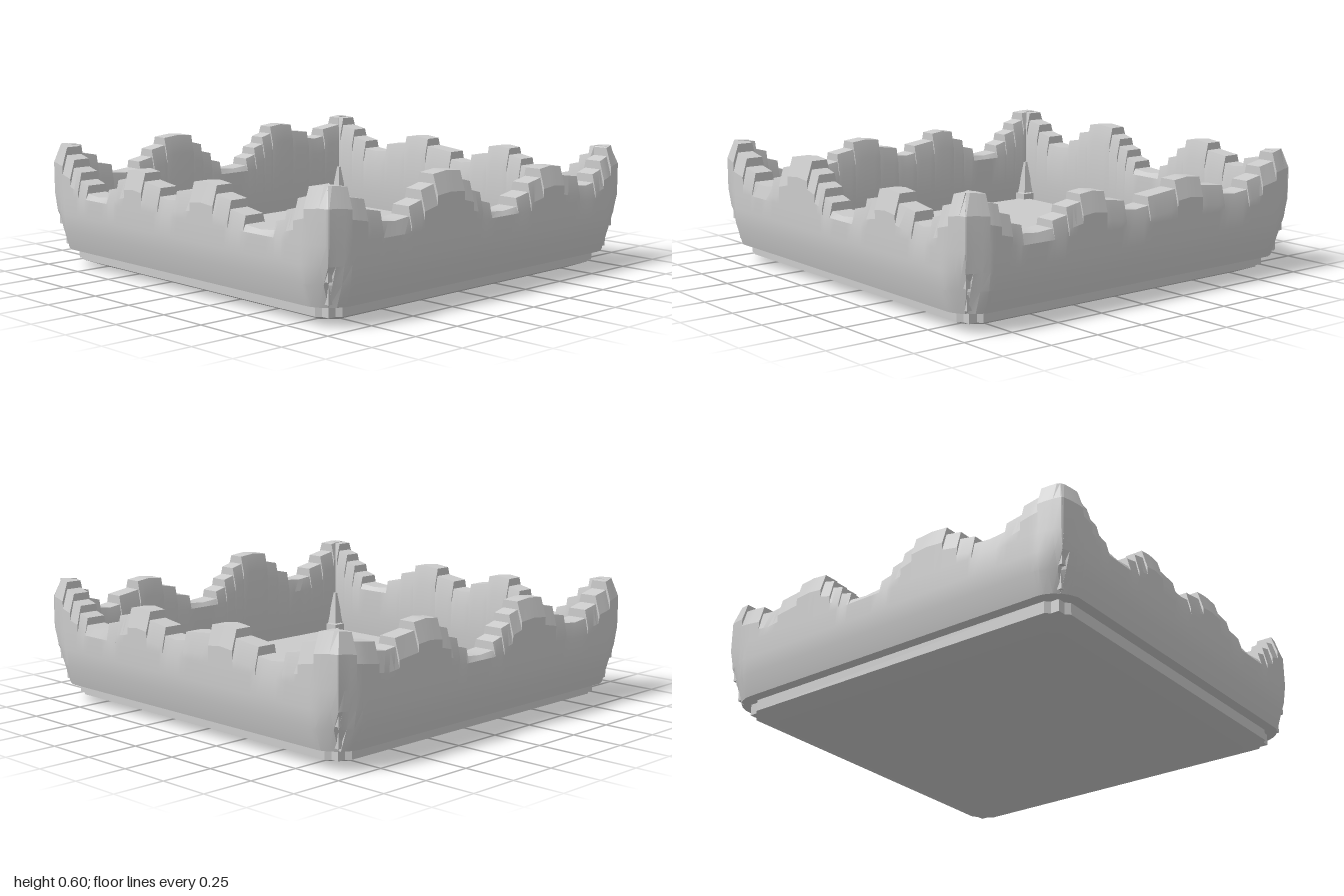
import * as THREE from 'three';
import { toCreasedNormals } from 'three/addons/utils/BufferGeometryUtils.js';

const material = new THREE.MeshStandardMaterial({ color: 0xcccccc });

// Positions and heights of the crests and dips between the corners, anticlockwise from above
const WALLS = [
  { at: [-.57, -.29, -.05, .18, .58], height: [.38, .54, .43, .54, .38] }, // front
  { at: [-.59, -.27, .1, .46, .7], height: [.42, .6, .38, .55, .43] }, // +x side
  { at: [-.6, -.28, -.05, .29, .58], height: [.4, .54, .43, .54, .43] }, // back
  { at: [-.7, -.46, -.1, .27, .6], height: [.49, .59, .38, .59, .43] }, // -x side
];

const lerp = THREE.MathUtils.lerp;
const smooth = THREE.MathUtils.smoothstep;

// Stair-step from each crest to the next dip: list of [start along the wall, height]
function makeSteps({ at, height }) {
  const t = [-.95, ...at, .95], h = [.6, ...height, .6];
  const steps = [[-1, .6]];
  for (let i = 0; i < t.length - 1; i++) {
    const n = Math.max(2, Math.round(Math.abs(h[i + 1] - h[i]) / .053));
    for (let k = 0; k < n; k++) {
      const u = .25 + .5 * k / (n - 1);
      steps.push([lerp(t[i], t[i + 1], u), lerp(h[i], h[i + 1], (k + 1) / n)]);
    }
  }
  return steps;
}

// Skin a loop of sections, leaving out slivers; each section is a list of [x, y, z]
function loft(sections, closeSections) {
  const n = sections[0].length, m = sections.length;
  const vertices = sections.flat().map(p => new THREE.Vector3(...p));
  const index = [];
  const face = (...corners) => {
    const triangle = new THREE.Triangle(...corners.map(i => vertices[i]));
    if (triangle.getArea() > 1e-5) index.push(...corners);
  };
  for (let i = 0; i < m; i++) {
    for (let j = 0; j < (closeSections ? n : n - 1); j++) {
      const a = i * n + j, b = ((i + 1) % m) * n + j;
      const d = i * n + (j + 1) % n, c = ((i + 1) % m) * n + (j + 1) % n;
      face(a, b, c);
      face(a, c, d);
    }
  }
  const geometry = new THREE.BufferGeometry().setFromPoints(vertices);
  geometry.setIndex(index);
  return toCreasedNormals(geometry, 0.25);
}

// Quarter turns carry the front wall's (along, out) to each side
function turn(side, along, y, out) {
  return [[along, y, out], [out, y, -along], [-along, y, -out], [-out, y, along]][side];
}

// Barrel-shaped cross-section with narrowed foot and top, cut back at the corners
function wallSection(side, t, top) {
  const corner = smooth(Math.abs(t), .84, 1);
  const points = [];
  const add = (d, y) => points.push(turn(side, THREE.MathUtils.clamp(t, -d, d), y, d));
  const mid = Math.max(.36, top - .09);
  const taper = .015 * smooth(top, .38, .6);
  const outside = [[.963, .09], [.993, .19], [1, .27], [1, .36], [1, mid], [.985 - taper, top]];
  for (const [d, y] of outside) add(d - corner * (.03 + .04 * (1 - smooth(y, .15, .35))), y);
  const inside = [[.885 + taper * .4, top], [.87, mid], [.87, .2], [.885, .09]];
  for (const [d, y] of inside) add(d, y);
  return points;
}

function makeWall() {
  const sections = [];
  WALLS.forEach((wall, side) => {
    const steps = makeSteps(wall);
    steps.forEach(([t, h], i) => {
      const [, before] = steps[i - 1] ?? [-1, h];
      const [end, after] = steps[i + 1] ?? [1, h];
      // each step leans slightly towards its neighbours
      const from = lerp(h, before, .15), to = lerp(h, after, .15);
      for (let k = 0; k <= 4; k++) {
        const u = k / 4;
        const top = u < .5 ? lerp(from, h, u * 2) : lerp(h, to, u * 2 - 1);
        sections.push(wallSection(side, lerp(t, end, u), top));
      }
    });
  });
  return loft(sections, true);
}

// Floor slab, bevelled above and below, with clipped corners
function makeBase() {
  const profile = [[0, 0, 0], [.82, 0, .05], [.91, .035, .08], [.91, .09, .08], [.83, .12, .03], [0, .12, 0]];
  const sections = [];
  for (let side = 0; side < 4; side++) {
    for (const s of [-1, 1]) {
      sections.push(profile.map(([d, y, cut]) => turn(side, s * (d - cut), y, d)));
    }
  }
  return loft(sections, false);
}

export function createModel() {
  const group = new THREE.Group();
  const add = (name, geometry, x, y, z) => {
    const mesh = new THREE.Mesh(geometry, material);
    mesh.name = name;
    mesh.position.set(x, y, z);
    group.add(mesh);
  };
  add('base', makeBase(), 0, 0, 0);
  add('raggedWall', makeWall(), 0, 0, 0);

  // Small stepped blocks and a pointed post at every corner
  const foot = new THREE.BoxGeometry(.07, .06, .07);
  const post = toCreasedNormals(new THREE.CylinderGeometry(.01, .045, .18, 4).rotateY(Math.PI / 4), 0.25);
  const outerBlock = new THREE.BoxGeometry(.07, .07, .07);
  for (const x of [-1, 1]) {
    for (const z of [-1, 1]) {
      add('innerCornerFoot', foot, x * .825, .12, z * .825);
      add('innerCornerPost', post, x * .85, .23, z * .85);
      for (const [d, y] of [[.855, .07], [.9, .14], [.92, .24]]) {
        add('outerCornerBlock', outerBlock, x * d, y, z * d);
      }
    }
  }
  return group;
}
